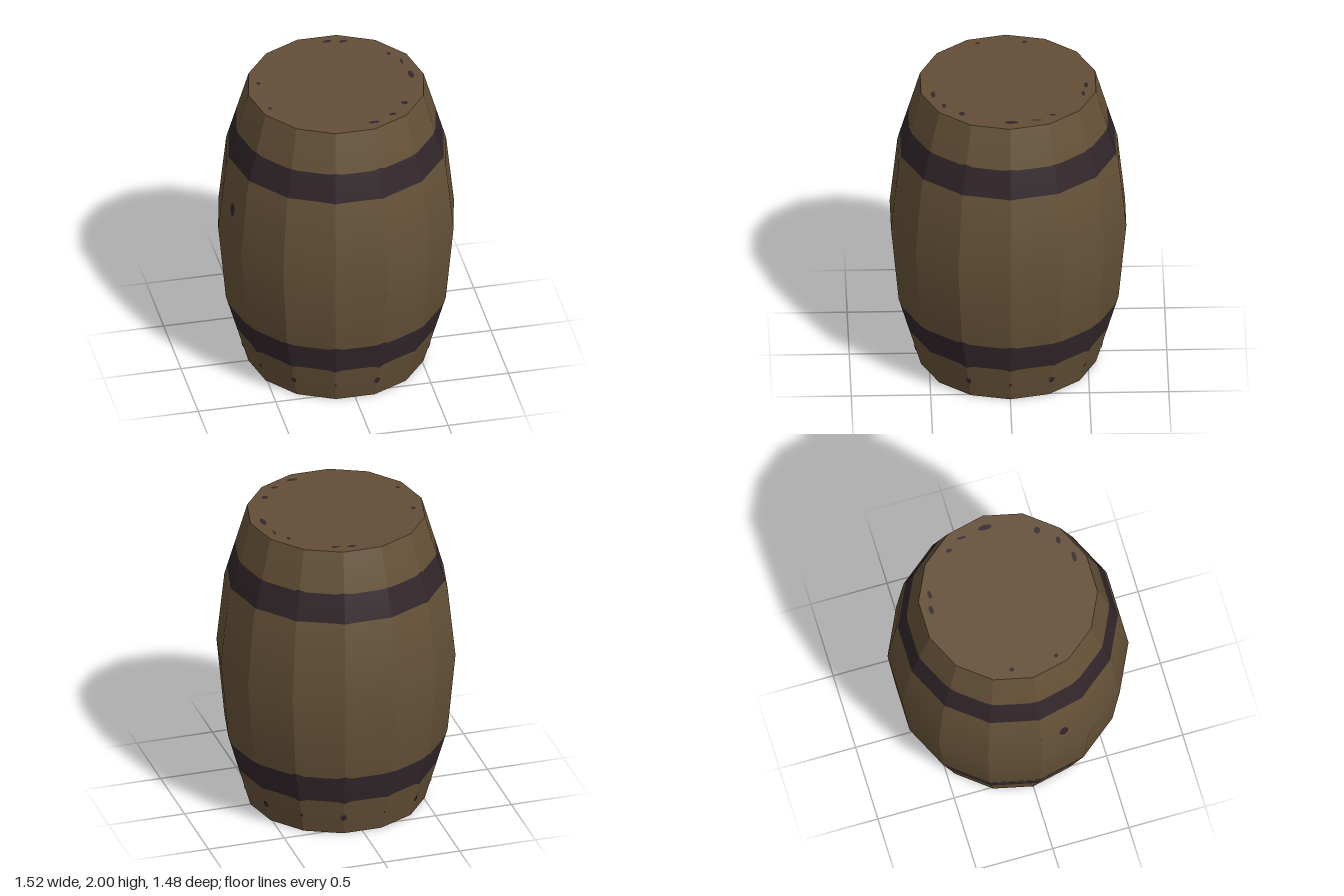
import * as THREE from 'three';

const STAVES = 14;
// Key rows of the barrel wall: height, corner radius, tilt of the normal
const PROFILE = [
  [0, 0.565, -0.276], [0.5, 0.71, -0.184], [1.03, 0.76, 0], [1.5, 0.71, 0.184], [2, 0.565, 0.276],
];

const wood = new THREE.MeshStandardMaterial({ color: 0x665238 });
wood.name = 'brown wood';
const lidWood = new THREE.MeshStandardMaterial({ color: 0x644e37 });
lidWood.name = 'lid wood';
const iron = new THREE.MeshStandardMaterial({ color: 0x33272b });
iron.name = 'dark iron';

// Radius and normal tilt at a height
function wallAt(y) {
  let i = 0;
  while (i < PROFILE.length - 2 && y > PROFILE[i + 1][0]) i++;
  const a = PROFILE[i], b = PROFILE[i + 1];
  const t = (y - a[0]) / (b[0] - a[0]);
  return { r: THREE.MathUtils.lerp(a[1], b[1], t), tilt: THREE.MathUtils.lerp(a[2], b[2], t) };
}

// Point on the faceted wall; s counts staves from +x towards +z
function wallPoint(s, y, lift = 0) {
  const k = Math.floor(s), u = s - k, step = Math.PI * 2 / STAVES;
  const r = wallAt(y).r + lift;
  const corner = (n) => new THREE.Vector3(r * Math.cos(n * step), y, r * Math.sin(n * step));
  return corner(k).lerp(corner(k + 1), u);
}

function wallNormal(stave, y) {
  const a = (stave + 0.5) * Math.PI * 2 / STAVES, t = wallAt(y).tilt;
  return new THREE.Vector3(Math.cos(a) * Math.cos(t), Math.sin(t), Math.sin(a) * Math.cos(t));
}

function toGeometry(pos, nor, idx) {
  const g = new THREE.BufferGeometry();
  g.setAttribute('position', new THREE.Float32BufferAttribute(pos, 3));
  g.setAttribute('normal', new THREE.Float32BufferAttribute(nor, 3));
  g.setIndex(idx);
  return g;
}

// Ring of flat staves between rows; each row gives a height for a position s
function ring(name, material, rows) {
  const cols = [0, 0.06, 0.14, 0.5, 0.86, 0.94, 1];
  const pos = [], nor = [], idx = [], n = cols.length;
  for (let k = 0; k < STAVES; k++) {
    const base = pos.length / 3;
    rows.forEach((row, j) => cols.forEach((u, i) => {
      const y = typeof row === 'function' ? row(k, u) : row;
      const p = wallPoint(k + Math.min(u, 0.99999), y);
      pos.push(p.x, p.y, p.z);
      nor.push(...wallNormal(k, y).toArray());
      if (j && i) {
        const d = base + j * n + i - 1, a = d - n;
        idx.push(a, d, d + 1, a, d + 1, a + 1);
      }
    }));
  }
  const mesh = new THREE.Mesh(toGeometry(pos, nor, idx), material);
  mesh.name = name;
  return mesh;
}

// Ragged band edge: a small bump at each stave corner
function ragged(y, bump) {
  return (k, u) => {
    const d = Math.min(u, 1 - u);
    const c = (u < 0.5 ? k : k + 1) % STAVES;
    const size = bump * (0.75 + 0.35 * Math.sin(c * 2.3));
    return y + size * Math.max(0, 1 - d / 0.15);
  };
}

// Thin oval mark lying on the wall, folding over the corners
function wallSpot(s, y, w, h) {
  const pos = [], nor = [], idx = [], n = 12;
  const ds = w / (0.445 * wallAt(y).r);
  const add = (a, b) => {
    const sa = a + STAVES;
    pos.push(...wallPoint(sa, b, 0.004).toArray());
    nor.push(...wallNormal(sa - 0.5, b).toArray());
  };
  add(s, y);
  for (let i = 0; i < n; i++) {
    const t = i / n * Math.PI * 2;
    add(s + ds * Math.round(Math.cos(t) * 1e6) / 1e6, y + h * Math.sin(t));
    idx.push(0, 1 + i, 1 + (i + 1) % n);
  }
  // s runs leftwards seen from outside, so reverse the winding
  for (let i = 0; i < idx.length; i += 3) [idx[i + 1], idx[i + 2]] = [idx[i + 2], idx[i + 1]];
  return new THREE.Mesh(toGeometry(pos, nor, idx), iron);
}

export function createModel() {
  const barrel = new THREE.Group();
  barrel.name = 'barrel';

  // Wall and hoops
  const lowA = ragged(0.258, -0.016), lowB = ragged(0.45, 0.022);
  const highA = ragged(1.555, -0.003), highB = ragged(1.735, 0.014);
  barrel.add(
    ring('lowerStaves', wood, [0, lowA]),
    ring('lowerHoop', iron, [lowA, lowB]),
    ring('middleStaves', wood, [lowB, 0.5, 1.03, 1.5, highA]),
    ring('upperHoop', iron, [highA, highB]),
    ring('upperStaves', wood, [highB, 2]),
  );

  // Lid and base
  for (const [name, y, turn] of [['lid', 2, -1], ['base', 0, 1]]) {
    const disc = new THREE.Mesh(new THREE.CircleGeometry(0.565, STAVES), lidWood);
    disc.rotation.x = turn * Math.PI / 2;
    disc.position.y = y;
    disc.name = name;
    barrel.add(disc);
  }

  // Nail heads along the stave corners, of uneven size
  const nails = new THREE.Group();
  nails.name = 'nails';
  [0.011, 0.02, 0, 0.02, 0.008, 0.017, 0.011, 0.02, 0.012, 0.018, 0.008, 0.02, 0.011, 0.02]
    .forEach((w, k) => { if (w) nails.add(wallSpot(k, 0.13, w, w * 1.2)); });
  barrel.add(nails);

  // Knot on the side
  const knot = wallSpot(6.5, 1.26, 0.028, 0.045);
  knot.name = 'knot';
  barrel.add(knot);

  // Worn marks near the lid edge: x, z, half width, half depth
  const marks = new THREE.Group();
  marks.name = 'lidMarks';
  for (const [x, z, w, d] of [
    [0.05, -0.49, 0.03, 0.014], [0.15, -0.47, 0.028, 0.013], [0.4, -0.27, 0.012, 0.02],
    [0.46, -0.17, 0.008, 0.03], [0.485, -0.01, 0.018, 0.045], [0.375, 0.3, 0.022, 0.02],
    [0.275, 0.41, 0.024, 0.014], [0.14, 0.475, 0.036, 0.014], [-0.475, -0.115, 0.013, 0.017],
    [-0.465, 0.18, 0.013, 0.014],
  ]) {
    const mark = new THREE.Mesh(new THREE.CircleGeometry(1, 10), iron);
    mark.rotation.x = -Math.PI / 2;
    mark.scale.set(w, d, 1);
    mark.position.set(x, 2.002, z);
    marks.add(mark);
  }
  barrel.add(marks);

  return barrel;
}
